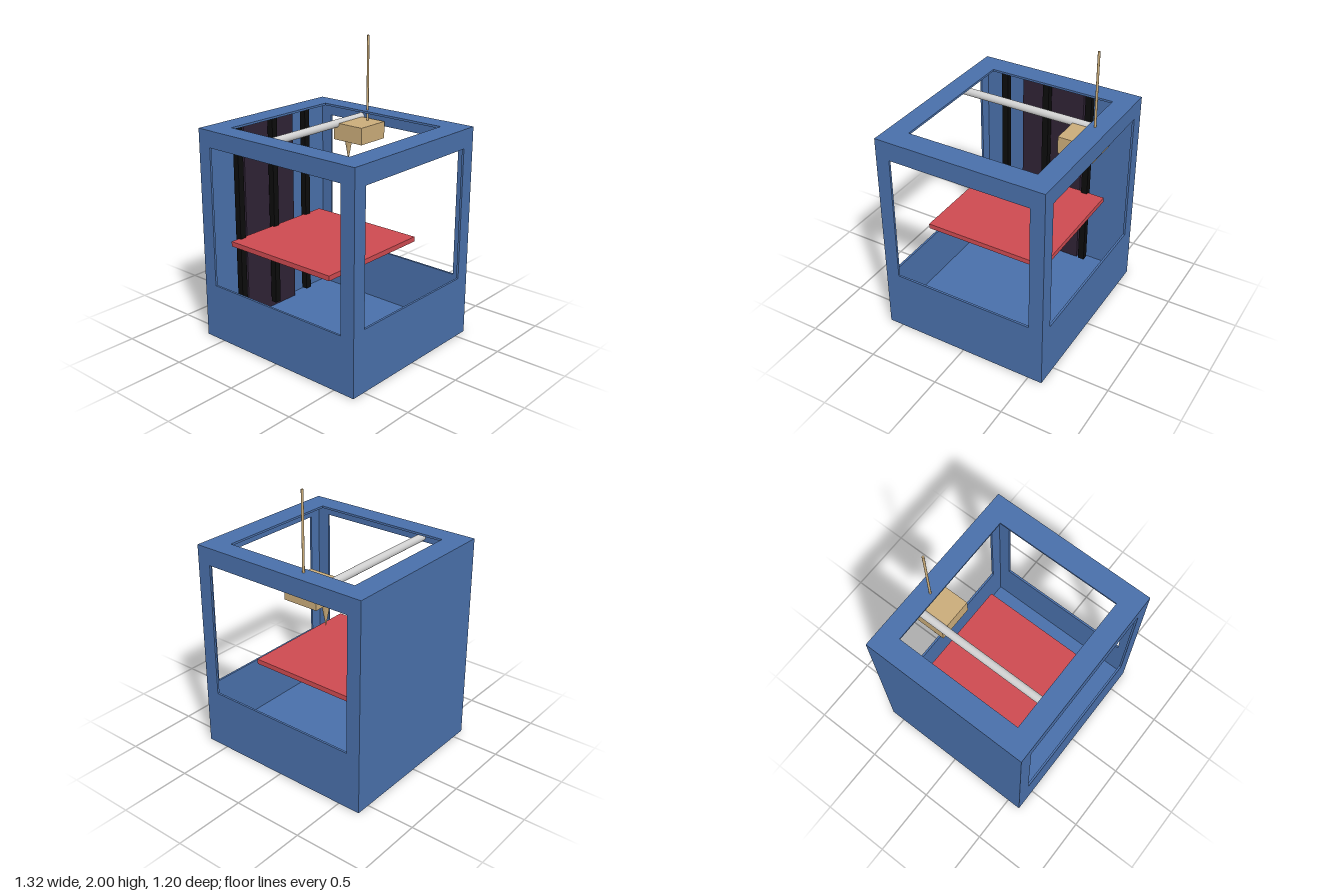
import * as THREE from 'three';

const mat = (name, color) => {
  const m = new THREE.MeshStandardMaterial({ color });
  m.name = name;
  return m;
};

export function createModel() {
  const blue = mat('frame blue', 0x496fa9);
  const red = mat('bed red', 0xcc4a50);
  const tan = mat('carriage tan', 0xc9ab79);
  const silver = mat('rod silver', 0xd0d0d0);
  const plum = mat('panel plum', 0x2e2234);
  const black = mat('rail black', 0x0c0c0c);

  const model = new THREE.Group();
  model.name = 'printer';
  const W = 0.66, H = 1.48, D = 0.6, T = 0.015;

  const add = (name, geometry, material, parent = model) => {
    const mesh = new THREE.Mesh(geometry, material);
    mesh.name = name;
    parent.add(mesh);
    return mesh;
  };
  // Box from its lower and upper bounds
  const box = (name, [x0, x1], [y0, y1], [z0, z1], material, parent) => {
    const g = new THREE.BoxGeometry(x1 - x0, y1 - y0, z1 - z0);
    g.translate((x0 + x1) / 2, (y0 + y1) / 2, (z0 + z1) / 2);
    return add(name, g, material, parent);
  };
  // Thin plate in the XY plane with one rectangular opening
  const rect = (P, [u0, u1, v0, v1]) => {
    const p = new P();
    p.moveTo(u0, v0);
    p.lineTo(u1, v0);
    p.lineTo(u1, v1);
    p.lineTo(u0, v1);
    p.closePath();
    return p;
  };
  const openPlate = (outer, hole) => {
    const s = rect(THREE.Shape, outer);
    s.holes.push(rect(THREE.Path, hole));
    return new THREE.ExtrudeGeometry(s, { depth: T, bevelEnabled: false });
  };

  // Hollow thin-walled housing
  const housing = new THREE.Group();
  housing.name = 'housing';
  model.add(housing);
  add('frontFrame', openPlate([-W, W, 0, H], [-0.56, 0.555, 0.395, 1.365])
    .translate(0, 0, D - T), blue, housing);
  add('backFrame', openPlate([-W, W, 0, H], [-0.56, 0.56, 0.41, 1.36])
    .translate(0, 0, -D), blue, housing);
  add('leftFrame', openPlate([-D + T, D - T, 0, H], [-0.5, 0.5, 0.435, 1.35])
    .rotateY(Math.PI / 2).translate(W - T, 0, 0), blue, housing);
  add('topFrame', openPlate([-W + T, W - T, -D + T, D - T], [-0.505, 0.5, -0.455, 0.46])
    .rotateX(-Math.PI / 2).translate(0, H - T, 0), blue, housing);
  box('solidWall', [-W, -W + T], [0, H], [-D + T, D - T], blue, housing);
  box('floor', [-W + T, W - T], [0, 0.03], [-D + T, D - T], blue, housing);

  // Lift panel and vertical rails along the solid wall
  box('liftPanel', [-0.645, -0.595], [0.03, 1.46], [-0.21, 0.265], plum);
  for (const z of [-0.28, 0.045, 0.37]) {
    box('verticalRail', [-0.565, -0.52], [0.09, 1.46], [z - 0.023, z + 0.023], black);
  }

  // Print bed
  box('bed', [-0.54, 0.34], [0.645, 0.68], [-0.425, 0.46], red);

  // Guide rod running front to back
  add('guideRod', new THREE.CylinderGeometry(0.027, 0.027, 1.16, 32)
    .rotateX(Math.PI / 2).translate(-0.268, 1.4, 0), silver);

  // Print head: carriage, nozzle and filament
  const head = new THREE.Group();
  head.name = 'printHead';
  model.add(head);
  box('carriage', [-0.29, -0.04], [1.285, 1.405], [-0.555, -0.305], tan, head);
  add('nozzle', new THREE.ConeGeometry(0.03, 0.17, 32)
    .rotateX(Math.PI).translate(-0.25, 1.2, -0.417), tan, head);
  add('filament', new THREE.CylinderGeometry(0.008, 0.008, 0.6, 16)
    .translate(-0.153, 1.7, -0.506), tan, head);

  return model;
}
